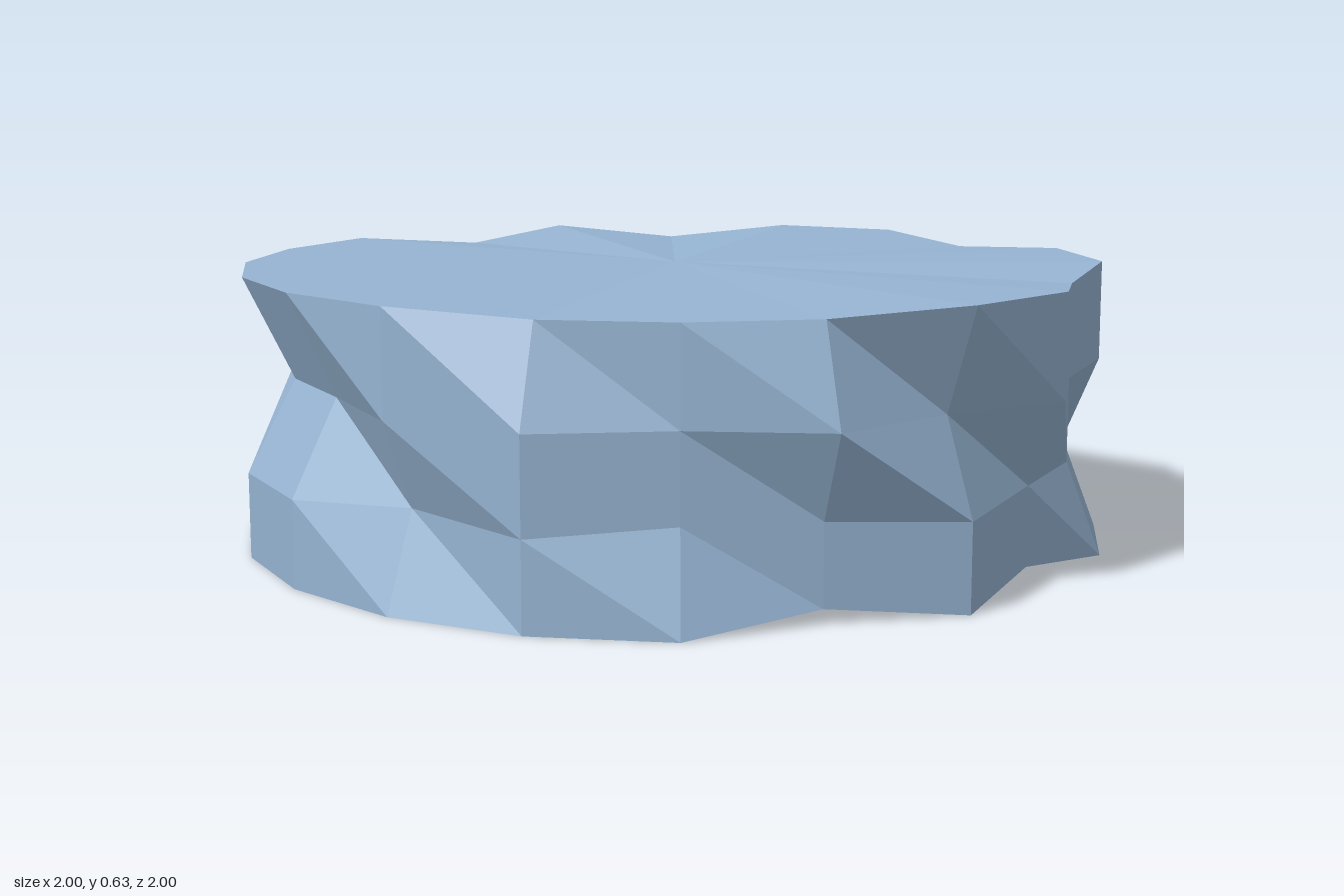
import * as THREE from 'three';

const SIDES = 20;
const PIVOT_Y = 0.4; // dents shrink towards this point on the axis

// Rings from bottom to top; dents list which corners are pushed in, and how far
const RINGS = [
  { y: 0, dents: { 1: 0.92, 3: 0.92 } },
  { y: 0.193, dents: { 0: 0.92, 1: 0.92, 3: 0.92, 4: 0.92, 6: 0.92, 9: 0.89, 14: 0.9, 16: 0.92, 19: 0.92 } },
  { y: 0.4, dents: { 0: 0.92, 2: 0.92, 4: 0.92, 7: 0.89, 8: 0.89, 9: 0.89, 12: 0.89, 15: 0.89, 16: 0.92 } },
  { y: 0.63, dents: { 0: 0.92, 3: 0.92, 4: 0.92, 5: 0.92, 12: 0.89, 14: 0.89, 17: 0.92 } },
];

function rockGeometry() {
  const points = [];
  const index = [];
  const at = (ring, k) => ring * SIDES + (k % SIDES);

  for (const { y, dents } of RINGS) {
    for (let k = 0; k < SIDES; k++) {
      const a = (k / SIDES) * Math.PI * 2;
      const s = dents[k] ?? 1;
      points.push(Math.cos(a) * s, PIVOT_Y + (y - PIVOT_Y) * s, Math.sin(a) * s);
    }
  }

  // Faceted wall
  for (let r = 0; r < RINGS.length - 1; r++) {
    for (let k = 0; k < SIDES; k++) {
      const a = at(r, k), b = at(r, k + 1), c = at(r + 1, k + 1), d = at(r + 1, k);
      index.push(a, c, b, a, d, c);
    }
  }

  // Flat caps fanned from the axis
  const top = RINGS.length - 1;
  const bottomCentre = RINGS.length * SIDES;
  const topCentre = bottomCentre + 1;
  points.push(0, RINGS[0].y, 0, 0, RINGS[top].y, 0);
  for (let k = 0; k < SIDES; k++) {
    index.push(bottomCentre, at(0, k), at(0, k + 1));
    index.push(topCentre, at(top, k + 1), at(top, k));
  }

  const indexed = new THREE.BufferGeometry();
  indexed.setAttribute('position', new THREE.Float32BufferAttribute(points, 3));
  indexed.setIndex(index);
  const geometry = indexed.toNonIndexed();
  geometry.computeVertexNormals();
  return geometry;
}

export function createModel() {
  const group = new THREE.Group();
  group.name = 'stoneDisc';
  const material = new THREE.MeshStandardMaterial({ color: 0x96b4d2, flatShading: true });
  const disc = new THREE.Mesh(rockGeometry(), material);
  disc.name = 'dentedDisc';
  group.add(disc);
  return group;
}
